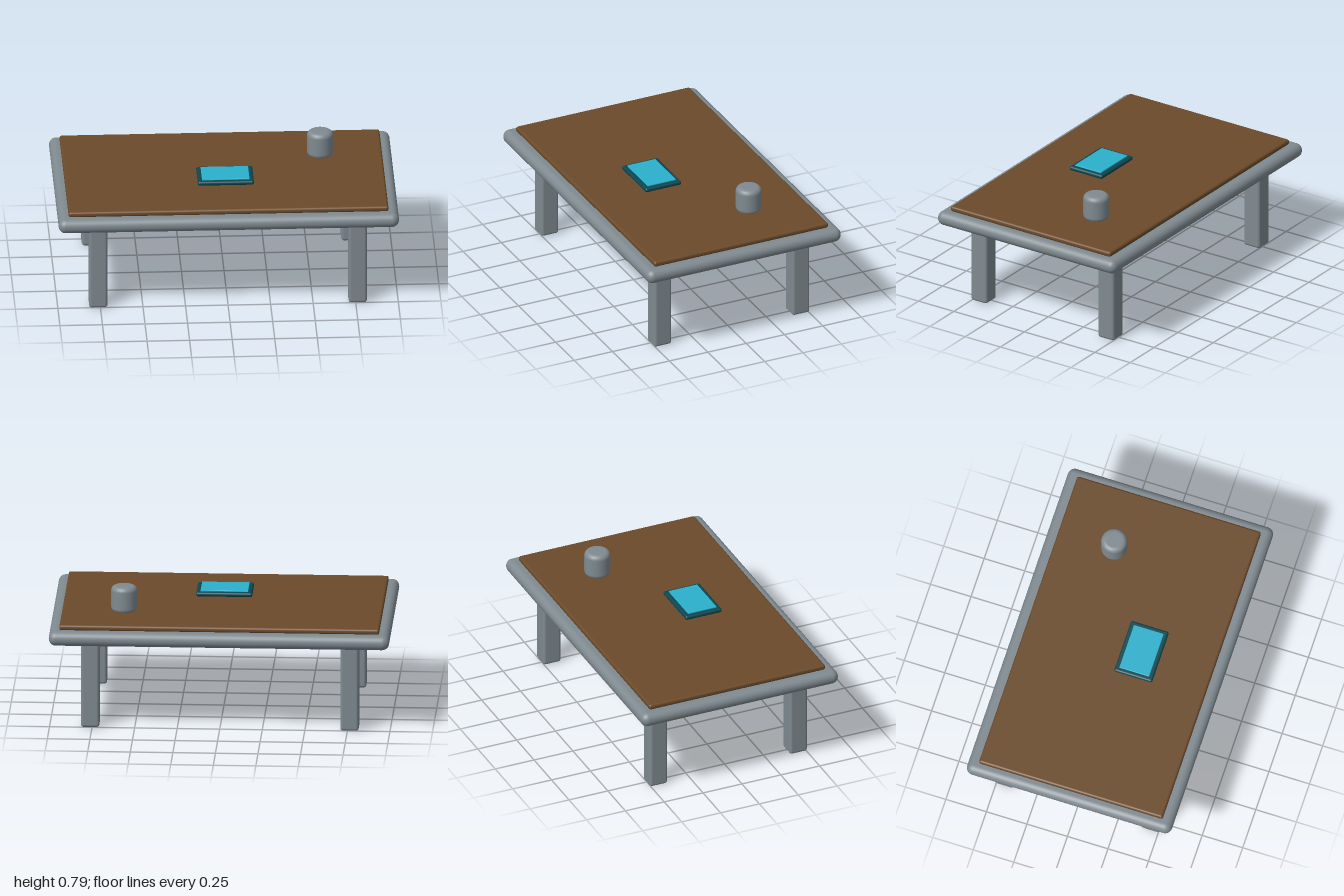
import * as THREE from 'three';
import { RoundedBoxGeometry } from 'three/addons/geometries/RoundedBoxGeometry.js';

const material = (name, color) => {
  const m = new THREE.MeshStandardMaterial({ color });
  m.name = name;
  return m;
};

export function createModel() {
  const grey = material('greyMetal', 0x7f8a90);
  const brown = material('brownWood', 0x6b4a2a);
  const teal = material('darkTeal', 0x0c4650);
  const cyan = material('cyanScreen', 0x2bb0cc);

  const table = new THREE.Group();
  table.name = 'table';

  const add = (name, geometry, mat, x, y, z) => {
    const mesh = new THREE.Mesh(geometry, mat);
    mesh.name = name;
    mesh.position.set(x, y, z);
    table.add(mesh);
    return mesh;
  };
  // Rounded box standing on height y0
  const slab = (name, mat, w, h, d, r, x, y0, z) =>
    add(name, new RoundedBoxGeometry(w, h, d, 5, r), mat, x, y0 + h / 2, z);

  // Table top: rounded frame with a wooden inlay
  slab('tableFrame', grey, 2, 0.086, 1.264, 0.042, 0, 0.525, 0);
  slab('woodenTop', brown, 1.88, 0.034, 1.134, 0.014, 0, 0.607, 0);

  // Four legs
  for (const [sx, side] of [[-1, 'Right'], [1, 'Left']]) {
    for (const [sz, end] of [[1, 'front'], [-1, 'back']]) {
      slab(`${end}${side}Leg`, grey, 0.108, 0.545, 0.112, 0.016, sx * 0.762, 0, sz * 0.45);
    }
  }

  // Tablet hovering just above the table
  slab('tabletBody', teal, 0.33, 0.026, 0.234, 0.012, 0, 0.655, 0.133);
  slab('tabletScreen', cyan, 0.28, 0.009, 0.184, 0.003, 0, 0.679, 0.133);

  // Cup: closed cylinder with rounded rims
  const r = 0.077, h = 0.16, bevel = 0.03;
  const profile = [new THREE.Vector2(0, 0)];
  for (const [cy, start] of [[bevel, -Math.PI / 2], [h - bevel, 0]]) {
    for (let i = 0; i <= 6; i++) {
      const a = start + (i / 6) * Math.PI / 2;
      profile.push(new THREE.Vector2(r - bevel + Math.cos(a) * bevel, cy + Math.sin(a) * bevel));
    }
  }
  profile.push(new THREE.Vector2(0, h));
  add('cup', new THREE.LatheGeometry(profile, 32), grey, 0.575, 0.63, -0.222);

  return table;
}
